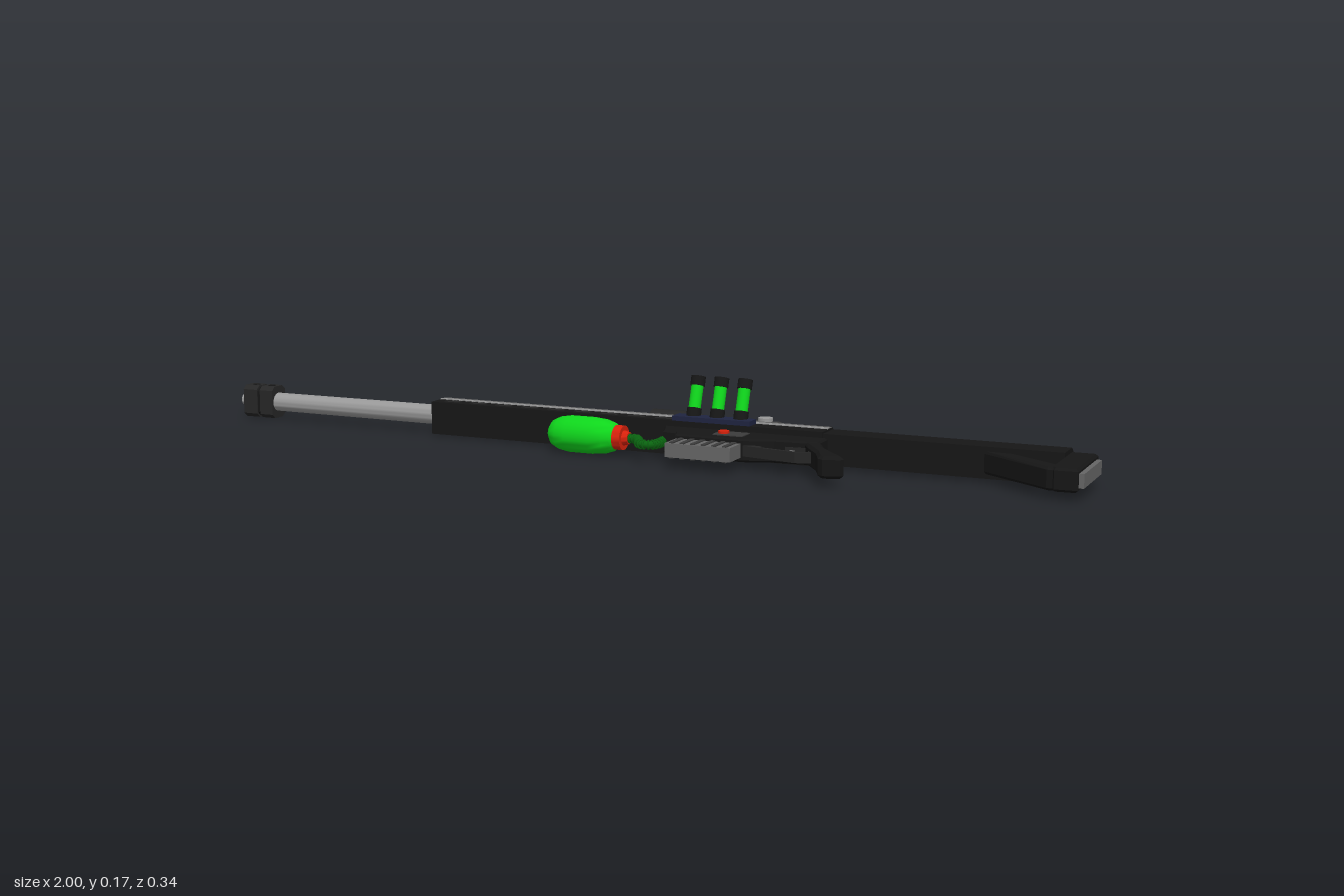
import * as THREE from 'three';
import { toCreasedNormals } from 'three/addons/utils/BufferGeometryUtils.js';

const MID = 0.046; // height of the centre plane of the rifle lying on its side
const paint = (color) => new THREE.MeshStandardMaterial({ color });
const M = {
  black: paint(0x161616), dark: paint(0x262626), panel: paint(0x3c3c3c), grey: paint(0x666666),
  steel: paint(0x999999), green: paint(0x0fd61c), hose: paint(0x0a6410), red: paint(0xd8220c),
  navy: paint(0x1f2440), glass: paint(0x8cc8dc),
};

export function createModel() {
  const root = new THREE.Group();
  const add = (name, geo, mat, parent = root) => {
    const m = new THREE.Mesh(geo, mat);
    m.name = name;
    parent.add(m);
    return m;
  };
  // box given by its limits
  const box = (name, mat, x0, x1, y0, y1, z0, z1) => {
    const g = new THREE.BoxGeometry(x1 - x0, y1 - y0, z1 - z0);
    g.translate((x0 + x1) / 2, (y0 + y1) / 2, (z0 + z1) / 2);
    return add(name, g, mat);
  };
  // outline in (x, z), thickness w across y, with optional holes
  const slab = (name, mat, pts, w, bevel = 0, holes = []) => {
    const v = (p) => p.map(([x, z]) => new THREE.Vector2(x, -z));
    const s = new THREE.Shape(v(pts));
    holes.forEach((h) => s.holes.push(new THREE.Path(v(h))));
    const g = new THREE.ExtrudeGeometry(s, {
      depth: w - 2 * bevel, bevelEnabled: bevel > 0, bevelSize: bevel,
      bevelThickness: bevel, bevelOffset: -bevel, bevelSegments: 1,
    });
    g.rotateX(-Math.PI / 2).translate(0, MID - w / 2 + bevel, 0);
    return add(name, g, mat);
  };
  // cross-section in (z, y offset), swept from x0 to x1
  const sweep = (name, mat, pts, x0, x1) => {
    const s = new THREE.Shape(pts.map(([z, y]) => new THREE.Vector2(-z, y)));
    const g = new THREE.ExtrudeGeometry(s, { depth: x1 - x0, bevelEnabled: false });
    g.rotateY(Math.PI / 2).translate(x0, MID, 0);
    return add(name, g, mat);
  };
  // turned part along x from (x, radius) pairs
  const turned = (name, mat, pts, z, seg = 24) => {
    const g = new THREE.LatheGeometry(pts.map(([x, r]) => new THREE.Vector2(r, x)), seg);
    g.rotateZ(-Math.PI / 2).translate(0, MID, z);
    return add(name, toCreasedNormals(g, 0.6), mat);
  };
  // section of a body with cut upper corners
  const body = (z0, z1, h, cut) => [
    [z0, -h + cut], [z0 + cut * 1.4, -h], [z1, -h], [z1, h], [z0 + cut * 1.4, h], [z0, h - cut]];

  // barrel and muzzle brake
  turned('barrel', M.steel, [[-1, 0], [-1, 0.013], [-0.97, 0.013], [-0.97, 0.021], [-0.45, 0.022], [-0.45, 0]], -0.059);
  const brake = [[-0.085, -0.028], [-0.074, -0.037], [-0.044, -0.037], [-0.034, -0.028],
    [-0.034, 0.028], [-0.044, 0.037], [-0.074, 0.037], [-0.085, 0.028]];
  sweep('muzzleBrakeFront', M.dark, brake, -0.985, -0.948);
  sweep('muzzleBrakeNeck', M.black, brake.map(([z, y]) => [(z + 0.059) * 0.88 - 0.059, y * 0.88]), -0.948, -0.94);
  sweep('muzzleBrakeRear', M.dark, brake, -0.94, -0.905);
  for (const x of [-0.966, -0.922]) {
    const g = new THREE.CylinderGeometry(0.009, 0.009, 0.0755, 12);
    add('muzzlePort', g.translate(x, MID, -0.059), M.black);
  }

  // upper receiver and handguard, with rails and side strips
  sweep('handguard', M.black, body(-0.092, -0.016, 0.036, 0.01), -0.465, 0.45);
  box('topRail', M.dark, -0.32, 0.4, MID - 0.015, MID + 0.015, -0.1, -0.09);
  box('topPanelFront', M.panel, -0.45, -0.33, MID - 0.018, MID + 0.018, -0.094, -0.09);
  for (const s of [-1, 1]) {
    const y = MID + s * 0.0362;
    box('sideStrip', M.grey, -0.464, 0.449, y - 0.001, y + 0.001, -0.077, -0.053);
    box('sideStripLight', M.steel, -0.464, 0.449, y - 0.002, y + 0.002, -0.061, -0.053);
    for (let i = 0; i < 9; i++) {
      const x = -0.44 + i * 0.064;
      box('ventSlot', M.dark, x, x + 0.04, y - 0.002, y + 0.001, -0.042, -0.03);
    }
  }

  // stock, strut and butt
  sweep('stock', M.black, body(-0.092, -0.02, 0.032, 0.008), 0.45, 0.94);
  box('stockTopPanel', M.panel, 0.5, 0.92, MID - 0.018, MID + 0.018, -0.094, -0.09);
  slab('stockStrut', M.black, [[0.78, -0.022], [0.84, -0.022], [0.945, 0.052], [0.945, 0.09], [0.93, 0.088]], 0.045, 0.005);
  slab('buttPlate', M.black, [[0.935, -0.088], [0.99, -0.088], [0.99, 0.09], [0.945, 0.093], [0.935, 0.08]], 0.046, 0.005);
  box('buttPad', M.grey, 0.985, 1, MID - 0.014, MID + 0.014, -0.073, 0.084);

  // lower receiver, magazine and controls
  slab('lowerReceiver', M.black, [[0.1, -0.02], [0.46, -0.02], [0.46, 0.035], [0.37, 0.043], [0.31, 0.065],
    [0.16, 0.065], [0.15, 0.04], [0.12, 0.035]], 0.048, 0.004);
  box('magazine', M.grey, 0.163, 0.305, MID - 0.0145, MID + 0.0145, 0.05, 0.123);
  for (let i = 0; i < 6; i++) {
    const x = 0.172 + i * 0.023;
    box('magazineRib', M.panel, x, x + 0.009, MID - 0.017, MID + 0.017, 0.066, 0.121);
  }
  for (const s of [-1, 1]) {
    const y = MID + s * 0.024;
    box('sidePlate', M.panel, 0.235, 0.3, y - 0.002, y + 0.002, 0.002, 0.045);
  }
  add('redButton', new THREE.CylinderGeometry(0.012, 0.012, 0.012, 12).translate(0.252, 0.071, 0.025), M.red);

  // trigger guard, trigger and pistol grip
  slab('triggerGuard', M.dark, [[0.31, 0.03], [0.46, 0.03], [0.465, 0.08], [0.43, 0.09], [0.4, 0.084], [0.31, 0.066]],
    0.022, 0, [[[0.345, 0.042], [0.345, 0.067], [0.405, 0.078], [0.43, 0.084], [0.452, 0.075], [0.448, 0.04]]]);
  slab('trigger', M.grey, [[0.4, 0.035], [0.412, 0.035], [0.415, 0.055], [0.407, 0.072], [0.402, 0.071], [0.405, 0.055]], 0.01);
  slab('pistolGrip', M.black, [[0.425, 0.025], [0.465, 0.025], [0.48, 0.06], [0.515, 0.105], [0.552, 0.148],
    [0.548, 0.158], [0.515, 0.168], [0.503, 0.16], [0.482, 0.112], [0.45, 0.065]], 0.044, 0.006);

  // scope with lenses, turrets and mounts
  const SZ = -0.139;
  turned('scopeBody', M.dark, [[0.026, 0], [0.026, 0.031], [0.02, 0.031], [0.02, 0.036], [0.11, 0.036], [0.125, 0.034],
    [0.165, 0.02], [0.345, 0.02], [0.365, 0.026], [0.425, 0.026], [0.425, 0.016], [0.42, 0.016], [0.42, 0]], SZ);
  turned('frontLens', M.glass, [[0.0225, 0], [0.0225, 0.029], [0.03, 0.029], [0.03, 0]], SZ);
  turned('rearLens', M.glass, [[0.41, 0], [0.41, 0.015], [0.4235, 0.015], [0.4235, 0]], SZ);
  turned('turretHousing', M.panel, [[0.235, 0], [0.235, 0.022], [0.25, 0.028], [0.31, 0.028], [0.325, 0.022], [0.325, 0]], SZ);
  for (const s of [-1, 1]) {
    const g = new THREE.CylinderGeometry(0.016, 0.016, 0.012, 16);
    add('sideTurret', g.translate(0.28, MID + s * 0.029, SZ), M.steel);
  }
  add('topTurret', new THREE.CylinderGeometry(0.016, 0.016, 0.012, 16).rotateX(Math.PI / 2).translate(0.28, MID, SZ - 0.026), M.steel);
  for (const x of [0.175, 0.345]) {
    turned('scopeRing', M.black, [[x, 0], [x, 0.0235], [x + 0.035, 0.0235], [x + 0.035, 0]], SZ);
    box('scopeMount', M.black, x - 0.006, x + 0.055, MID - 0.014, MID + 0.014, -0.125, -0.096);
  }

  // canister, collar and ribbed hose
  const TZ = 0.032;
  turned('canister', M.green, [[-0.143, 0], [-0.142, 0.016], [-0.134, 0.027], [-0.118, 0.035], [-0.095, 0.039],
    [-0.04, 0.039], [-0.01, 0.036], [0.008, 0.03], [0.017, 0.02], [0.018, 0]], TZ, 28);
  turned('canisterCollar', M.red, [[0.01, 0], [0.01, 0.026], [0.03, 0.026], [0.03, 0.016], [0.042, 0.013], [0.042, 0]], TZ);
  const path = new THREE.CatmullRomCurve3([[0.035, 0.032], [0.06, 0.036], [0.075, 0.058], [0.09, 0.083],
    [0.112, 0.085], [0.122, 0.062], [0.118, 0.025]].map(([x, z]) => new THREE.Vector3(x, MID, z)));
  add('hose', new THREE.TubeGeometry(path, 48, 0.008, 10), M.hose);
  for (let i = 1; i < 18; i++) {
    const ring = add('hoseRib', new THREE.TorusGeometry(0.0085, 0.0025, 6, 12), M.hose);
    ring.position.copy(path.getPointAt(i / 18));
    ring.lookAt(ring.position.clone().add(path.getTangentAt(i / 18)));
  }

  // three glowing vials, tilted on a side block
  box('vialBlock', M.navy, 0.118, 0.292, 0.078, 0.092, -0.053, -0.016);
  for (const x of [0.155, 0.208, 0.261]) {
    const vial = new THREE.Group();
    vial.name = 'vial';
    const part = (name, mat, r, y0, y1) =>
      add(name, new THREE.CylinderGeometry(r, r, y1 - y0, 18).translate(0, (y0 + y1) / 2, 0), mat, vial);
    part('vialSocket', M.black, 0.0155, 0, 0.022);
    part('vialGlass', M.green, 0.013, 0.02, 0.072);
    part('vialCap', M.black, 0.0155, 0.07, 0.09);
    vial.position.set(x, 0.085, -0.042);
    vial.rotation.x = -0.32;
    root.add(vial);
  }
  return root;
}
